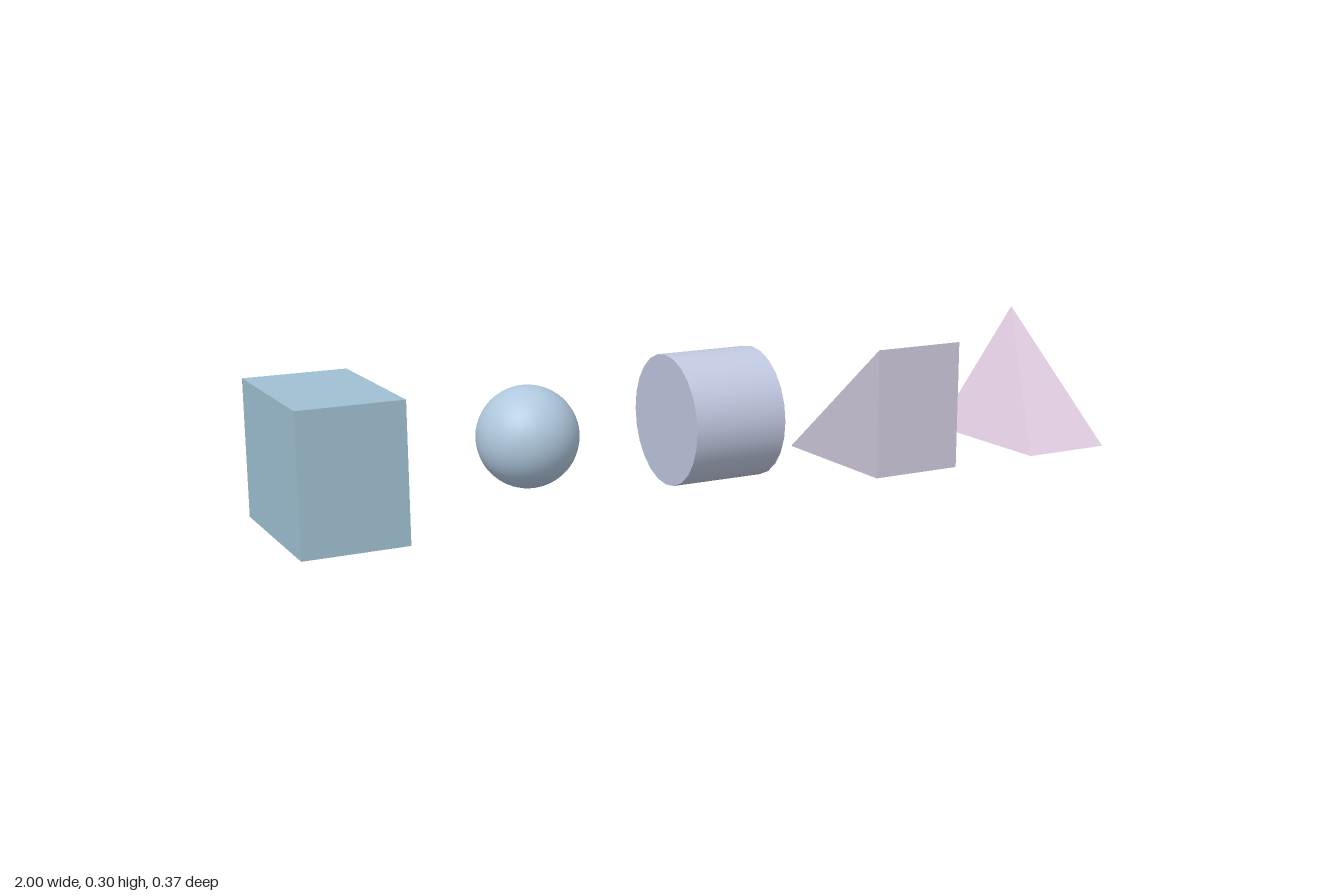
import * as THREE from 'three';
import { ConvexGeometry } from 'three/addons/geometries/ConvexGeometry.js';

// Every solid fills a cell W wide; the cells are spaced 2W apart along x
const W = 2 / 9, H = 0.296, D = 0.37;
const w = W / 2, d = D / 2;

// Flat-faced solid from its corner points
const solid = (corners) => new ConvexGeometry(corners.map((c) => new THREE.Vector3(...c)));

const base = [[-w, 0, d], [w, 0, d], [w, 0, -d], [-w, 0, -d]];

export function createModel() {
  const model = new THREE.Group();
  model.name = 'basicSolids';

  const solids = [
    // name, geometry, colour, height of the geometry's origin
    ['box', new THREE.BoxGeometry(W, H, D), 0x9fc0d2, H / 2],
    ['sphere', new THREE.SphereGeometry(w, 32, 24), 0xb0c8de, H / 2],
    // lying on its side, axis along x
    ['cylinder', new THREE.CylinderGeometry(H / 2, H / 2, W, 24).rotateZ(Math.PI / 2), 0xc0c8e0, H / 2],
    // upright at the front, sloping down to the back
    ['wedge', solid([...base, [-w, H, d], [w, H, d]]), 0xcfc8dc, 0],
    // apex straight above the back left corner
    ['cornerPyramid', solid([...base, [w, H, -d]]), 0xdcc8dc, 0],
  ];

  solids.forEach(([name, geometry, color, y], i) => {
    const mesh = new THREE.Mesh(geometry, new THREE.MeshStandardMaterial({ color }));
    mesh.name = name;
    mesh.position.set((i - 2) * 2 * W, y, 0);
    model.add(mesh);
  });

  return model;
}
